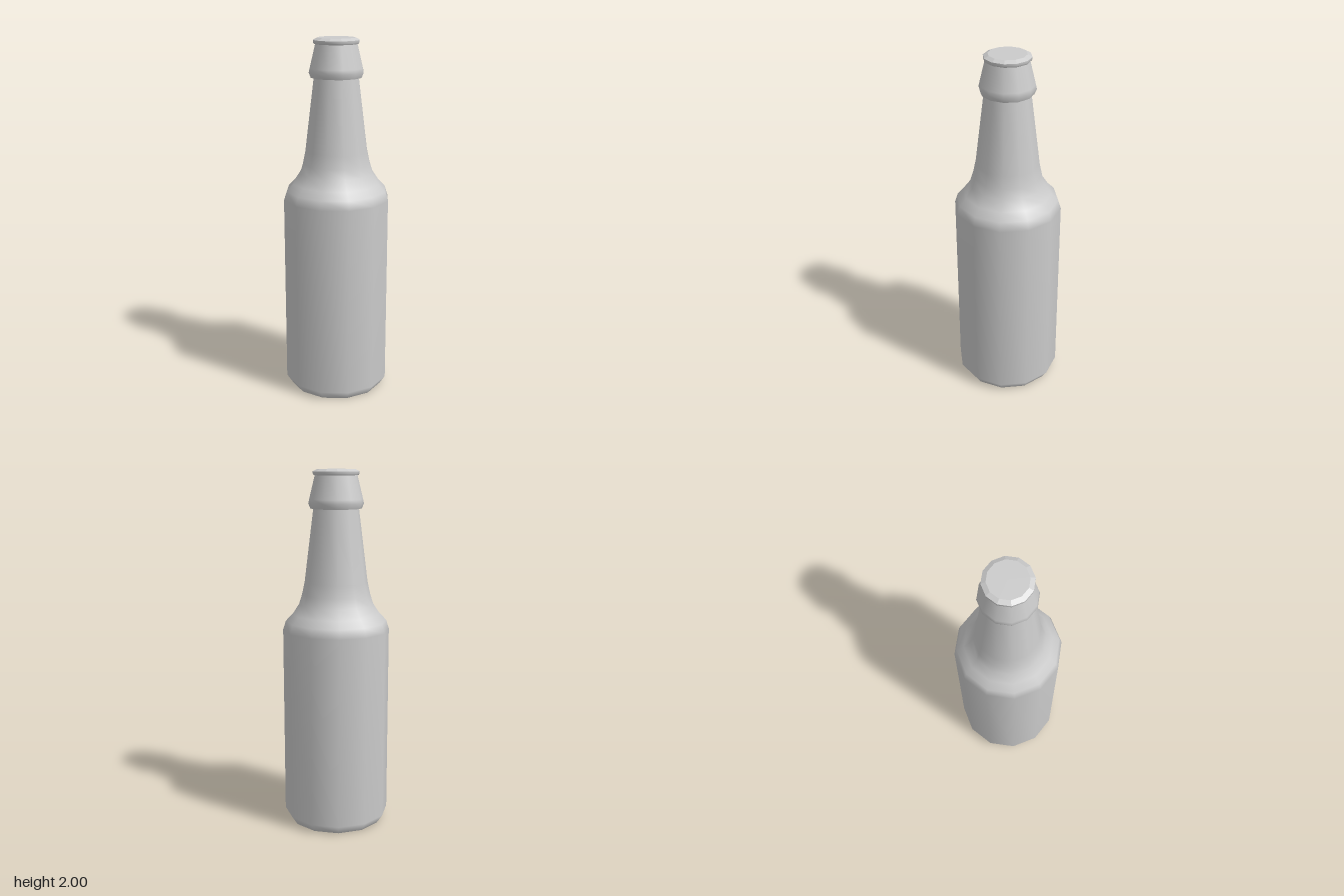
import * as THREE from 'three';

const SIDES = 12;

// Each [radius, height] profile runs bottom to top; separate parts keep hard edges between them.
const PARTS = {
  baseDisc: [[0, 0], [0.265, 0]],
  body: [
    [0.265, 0], [0.298, 0.05], [0.298, 1.12], [0.282, 1.17], [0.243, 1.21],
    [0.207, 1.265], [0.19, 1.32], [0.175, 1.39], [0.125, 1.79],
  ],
  collarUnderside: [[0.125, 1.79], [0.141, 1.79]],
  collar: [[0.141, 1.79], [0.152, 1.818], [0.147, 1.84], [0.116, 1.968]],
  lipUnderside: [[0.116, 1.968], [0.122, 1.968]],
  lip: [[0.122, 1.968], [0.127, 1.976], [0.127, 1.988]],
  lipBevel: [[0.127, 1.988], [0.103, 2]],
  topDisc: [[0.103, 2], [0, 2]],
};

export function createModel() {
  const group = new THREE.Group();
  group.name = 'bottle';
  const material = new THREE.MeshStandardMaterial({ color: 0xcccccc });
  const faceted = new THREE.MeshStandardMaterial({ color: 0xcccccc, flatShading: true });

  for (const [name, profile] of Object.entries(PARTS)) {
    const points = profile.map(([r, y]) => new THREE.Vector2(r, y));
    const mesh = new THREE.Mesh(
      new THREE.LatheGeometry(points, SIDES),
      name === 'lipBevel' ? faceted : material
    );
    mesh.name = name;
    group.add(mesh);
  }
  return group;
}
